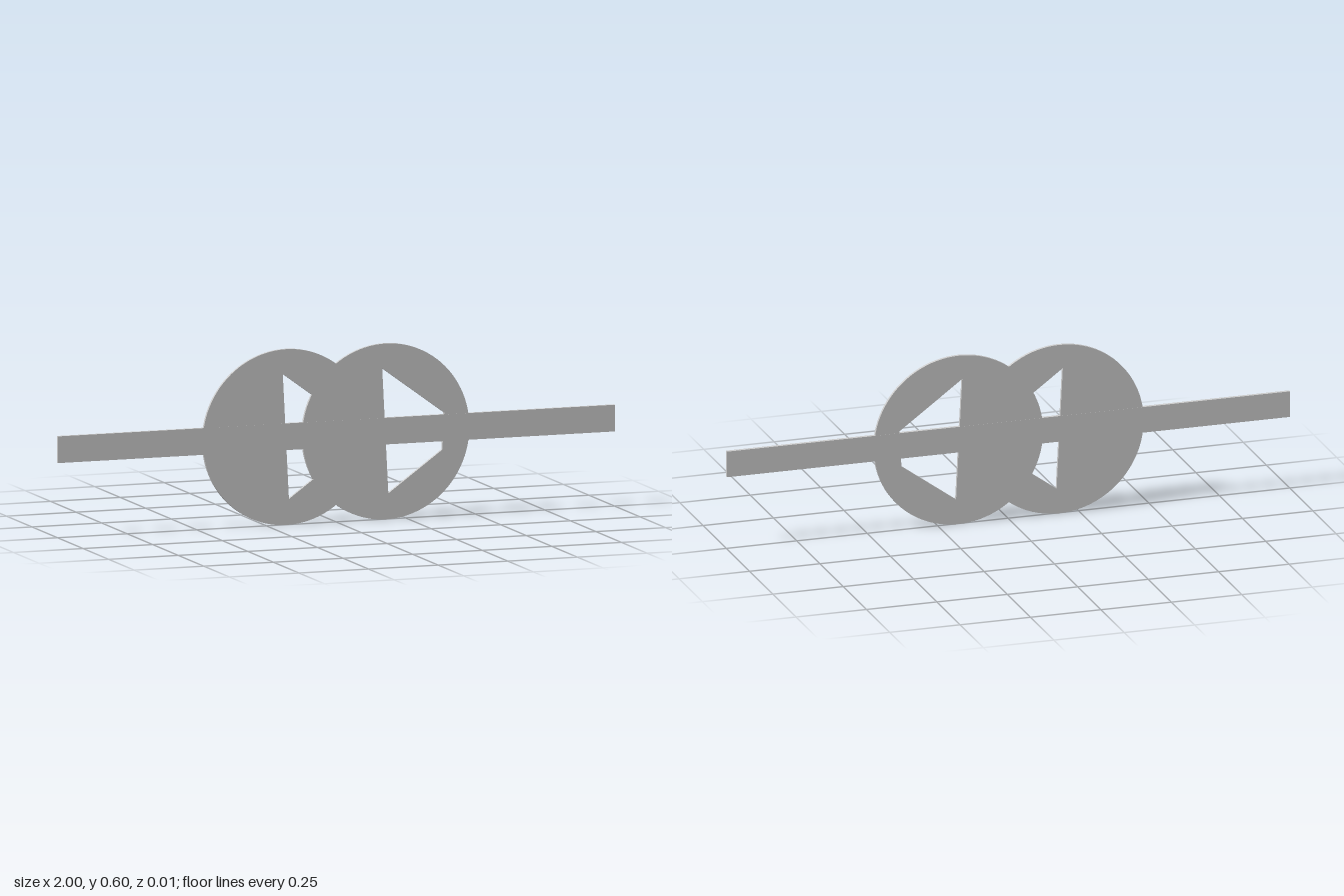
import * as THREE from 'three';
import { toCreasedNormals } from 'three/addons/utils/BufferGeometryUtils.js';

const RADIUS = 0.3, DISC_DEPTH = 0.011, BAR_DEPTH = 0.012;

export function createModel() {
  const group = new THREE.Group();
  const material = new THREE.MeshStandardMaterial({ color: 0xcccccc });

  // Thin round plate with a wedge-shaped window, centred on its own origin
  const outline = new THREE.Shape().absarc(0, 0, RADIUS, 0, Math.PI * 2, false);
  const windowCorners = [[-0.013, 0.216], [0.21, 0.053], [0.203, -0.073], [0.009, -0.212]];
  outline.holes.push(new THREE.Path(windowCorners.map(([x, y]) => new THREE.Vector2(x, y))));
  const extruded = new THREE.ExtrudeGeometry(outline, { depth: DISC_DEPTH, bevelEnabled: false, curveSegments: 48 });
  extruded.translate(0, 0, -DISC_DEPTH / 2);
  const disc = toCreasedNormals(extruded, 0.5);

  // Two identical overlapping discs
  for (const [name, x] of [['rightDisc', -0.18], ['leftDisc', 0.177]]) {
    const mesh = new THREE.Mesh(disc, material);
    mesh.name = name;
    mesh.position.set(x, 0.301, 0);
    group.add(mesh);
  }

  // Flat bar running through both discs
  const bar = new THREE.Mesh(new THREE.BoxGeometry(2, 0.091, BAR_DEPTH), material);
  bar.name = 'crossBar';
  bar.position.y = 0.302;
  group.add(bar);

  return group;
}
